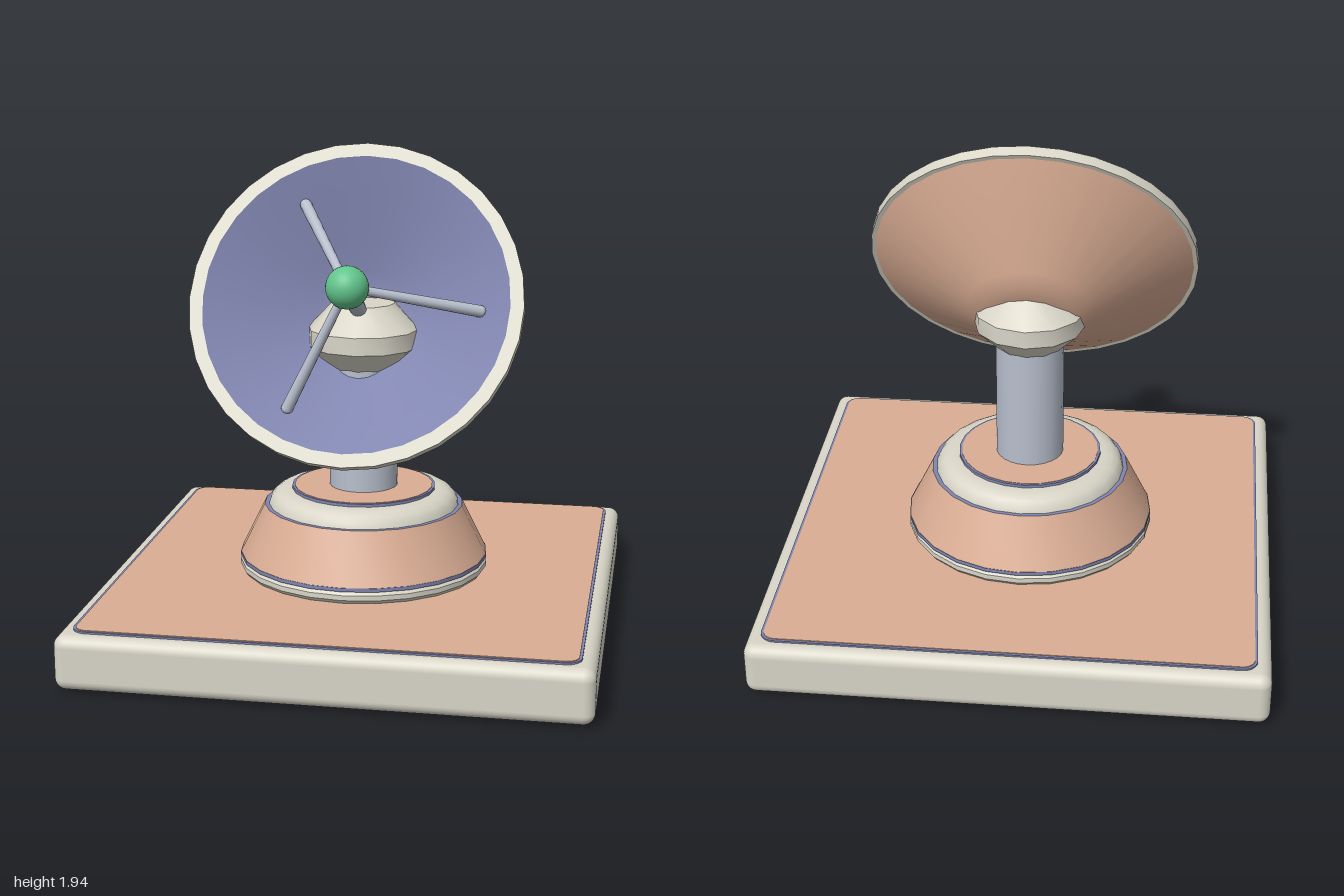
import * as THREE from 'three';
import { toCreasedNormals } from 'three/addons/utils/BufferGeometryUtils.js';
import { RoundedBoxGeometry } from 'three/addons/geometries/RoundedBoxGeometry.js';

const material = (name, color) => {
  const m = new THREE.MeshStandardMaterial({ color });
  m.name = name;
  return m;
};

export function createModel() {
  const cream = material('cream', 0xd9d6c8);
  const salmon = material('salmon', 0xdaad94);
  const blue = material('slate blue', 0x8085b0);
  const steel = material('steel', 0xb8bfcd);
  const green = material('green', 0x62c58c);

  const model = new THREE.Group();
  model.name = 'dishAntenna';

  const add = (name, geometry, mat, parent = model) => {
    const mesh = new THREE.Mesh(geometry, mat);
    mesh.name = name;
    parent.add(mesh);
    return mesh;
  };

  // Turned part from [radius, height] pairs, with sharp profile corners
  const turn = (points, segments = 24, crease = 0.5) =>
    toCreasedNormals(new THREE.LatheGeometry(points.map(([r, y]) => new THREE.Vector2(r, y)), segments), crease);

  // Flat square plate with rounded corners, lying between two heights
  const plate = (size, radius, y0, y1) => {
    const h = size / 2, c = h - radius;
    const s = new THREE.Shape();
    s.moveTo(c, -h);
    s.absarc(c, -c, radius, -Math.PI / 2, 0);
    s.absarc(c, c, radius, 0, Math.PI / 2);
    s.absarc(-c, c, radius, Math.PI / 2, Math.PI);
    s.absarc(-c, -c, radius, Math.PI, Math.PI * 1.5);
    const g = new THREE.ExtrudeGeometry(s, { depth: y1 - y0, bevelEnabled: false, curveSegments: 6 });
    return g.rotateX(-Math.PI / 2).translate(0, y0, 0);
  };

  // Tapered rod with a rounded end at b
  const rod = (name, a, b, ra, rb, parent) => {
    const group = new THREE.Group();
    group.name = name;
    const dir = b.clone().sub(a);
    const shaft = add(name + 'Shaft', new THREE.CylinderGeometry(rb, ra, dir.length(), 12), steel, group);
    shaft.position.copy(a).addScaledVector(dir, 0.5);
    shaft.quaternion.setFromUnitVectors(new THREE.Vector3(0, 1, 0), dir.normalize());
    add(name + 'End', new THREE.SphereGeometry(rb, 12, 8), steel, group).position.copy(b);
    parent.add(group);
  };

  // Base slab with inset panels above and below
  add('baseSlab', new RoundedBoxGeometry(2, 0.215, 2, 4, 0.045), cream).position.y = 0.1175;
  add('topPanelTrim', plate(1.89, 0.06, 0.222, 0.232), blue);
  add('topPanel', plate(1.87, 0.05, 0.228, 0.235), salmon);
  add('bottomPanelTrim', plate(1.89, 0.06, 0.003, 0.012), blue);
  add('bottomPanel', plate(1.87, 0.05, 0, 0.008), salmon);

  // Pedestal
  add('pedestalFoot', turn([[0.46, 0.23], [0.49, 0.235], [0.502, 0.25], [0.502, 0.27], [0.49, 0.285], [0.45, 0.287]]), cream);
  add('pedestalTrim', turn([[0.45, 0.285], [0.502, 0.285], [0.502, 0.3], [0.45, 0.3]]), blue);
  add('pedestalCone', turn([[0.45, 0.298], [0.5, 0.3], [0.402, 0.5]]), salmon);
  add('shoulderTrim', turn([[0.402, 0.5], [0.37, 0.5]]), blue);
  add('pedestalShoulder', turn([[0.385, 0.5], [0.378, 0.522], [0.362, 0.542], [0.34, 0.555], [0.31, 0.561], [0.26, 0.561]]), cream);
  add('capTrim', turn([[0.29, 0.56], [0.29, 0.573], [0.27, 0.573]]), blue);
  add('pedestalCap', turn([[0.28, 0.57], [0.28, 0.575], [0.1, 0.575]]), salmon);

  // Mast and faceted swivel joint
  add('mast', new THREE.CylinderGeometry(0.137, 0.137, 0.53, 24), steel).position.y = 0.825;
  add('swivelJoint', turn([[0, 1.055], [0.125, 1.055], [0.222, 1.15], [0.222, 1.22], [0.125, 1.322], [0, 1.322]], 12, 0.6), cream);

  // Dish, built around its own y axis and then tilted forward
  const dish = new THREE.Group();
  dish.name = 'dish';
  dish.position.set(0, 1.3625, 0.21);
  dish.rotation.x = 1.078;
  model.add(dish);
  add('dishBack', turn([[0, -0.325], [0.12, -0.324], [0.19, -0.318], [0.25, -0.288], [0.64, -0.043]], 32), salmon, dish);
  add('dishInside', turn([[0.605, -0.001], [0.485, -0.072], [0.3, -0.186], [0.2, -0.244], [0.12, -0.285], [0, -0.308]], 32), blue, dish);
  add('dishRim', turn([[0.6, -0.045], [0.655, -0.045], [0.655, 0], [0.602, 0]], 32), cream, dish);

  // Feed horn on the axis, held by a stem and three struts
  const focus = new THREE.Vector3(0, 0.182, 0);
  add('feedBall', new THREE.SphereGeometry(0.083, 24, 16), green, dish).position.copy(focus);
  rod('feedStem', focus, new THREE.Vector3(0, -0.25, 0), 0.042, 0.026, dish);
  for (let i = 0; i < 3; i++) {
    const t = (i * Math.PI * 2) / 3;
    const foot = new THREE.Vector3(0.48 * Math.cos(t), -0.068, 0.48 * Math.sin(t));
    rod('strut' + (i + 1), focus, foot, 0.017, 0.024, dish);
  }

  return model;
}
